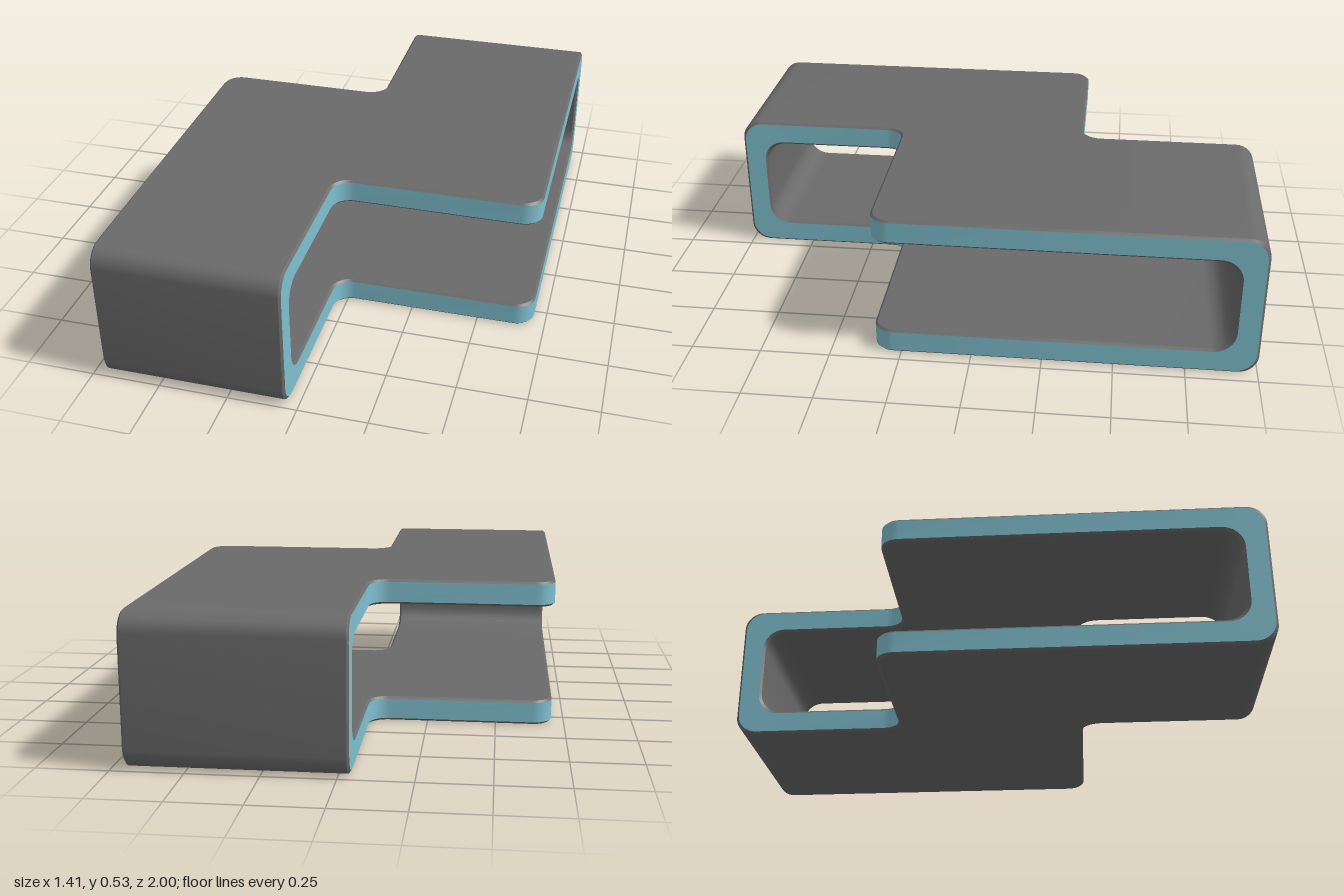
import * as THREE from 'three';
import { toCreasedNormals } from 'three/addons/utils/BufferGeometryUtils.js';

const HEIGHT = 0.53, WALL = 0.09, HALF_X = 0.705, STEP_X = -0.04, STEP_Z = 0.35;
const R = 0.07, R_IN = 0.08, BEVEL = 0.008, SEG = 8;

// Angles of a quarter turn
const quarter = Array.from({ length: SEG + 1 }, (_, k) => (k / SEG) * Math.PI / 2);

// Plan outline of one stepped edge: a concave fillet followed by a rounded corner
function steppedEdge(stepX) {
  const fillet = quarter.map((a) => ({
    x: stepX - R + R * Math.cos(a), z: -STEP_Z - R + R * Math.sin(a),
    nx: -Math.cos(a), nz: -Math.sin(a),
  }));
  const corner = quarter.map((a) => ({
    x: -HALF_X + R - R * Math.sin(a), z: -STEP_Z + R - R * Math.cos(a),
    nx: -Math.sin(a), nz: -Math.cos(a),
  }));
  return [...fillet, ...corner];
}

// Section across the band: outer and inner [z, y] points, full and bevelled x limits
function section(o, i, xl, xr, xlIn = xl + BEVEL, xrIn = xr - BEVEL, dz = 0) {
  const t = BEVEL / WALL;
  const mix = (a, b) => [a[0] + (b[0] - a[0]) * t, a[1] + (b[1] - a[1]) * t];
  const oRim = mix(o, i), iRim = mix(i, o);
  const at = (x, p, d = 0) => [x, p[1], p[0] + d];
  return [at(xl, oRim), at(xlIn, o, dz), at(xrIn, o, dz), at(xr, oRim),
    at(xr, iRim), at(xrIn, i, dz), at(xlIn, i, dz), at(xl, iRim)];
}

// Rounded bend at one end, from the end wall up to the flat slab
function endBend(sign, xl, xr) {
  return quarter.map((a) => {
    const arc = (inset, r) => [
      sign * (1 - inset - r + r * Math.cos(a)),
      HEIGHT - inset - r + r * Math.sin(a),
    ];
    return section(arc(0, R), arc(WALL, R_IN), xl, xr);
  });
}

// All sections around the closed band
function bandSections() {
  const slab = (z) => [[z, HEIGHT], [z, HEIGHT - WALL]];
  const left = steppedEdge(STEP_X).map((p) => section(...slab(p.z), p.x, HALF_X,
    p.x - p.nx * BEVEL, HALF_X - BEVEL, -p.nz * BEVEL));
  const right = steppedEdge(-STEP_X).reverse().map((p) => section(...slab(-p.z), -HALF_X, -p.x,
    -HALF_X + BEVEL, -p.x + p.nx * BEVEL, p.nz * BEVEL));
  const top = [
    ...endBend(-1, STEP_X, HALF_X), ...left, ...right,
    ...endBend(1, -HALF_X, STEP_X).reverse(),
  ];
  // Lower half mirrors the upper half
  const bottom = top.map((s) => s.map(([x, y, z]) => [x, HEIGHT - y, z])).reverse();
  return [...top, ...bottom];
}

// Skin the chosen strips between neighbouring sections
function skin(sections, strips) {
  const pos = [];
  sections.forEach((a, k) => {
    const b = sections[(k + 1) % sections.length];
    for (const j of strips) {
      const n = (j + 1) % 8;
      pos.push(...a[j], ...b[j], ...b[n], ...a[j], ...b[n], ...a[n]);
    }
  });
  const geo = new THREE.BufferGeometry();
  geo.setAttribute('position', new THREE.Float32BufferAttribute(pos, 3));
  return toCreasedNormals(geo, 0.6);
}

export function createModel() {
  const group = new THREE.Group();
  group.name = 'steppedTubeFrame';
  const sections = bandSections();
  const add = (name, strips, color) => {
    const mesh = new THREE.Mesh(skin(sections, strips), new THREE.MeshStandardMaterial({ color }));
    mesh.name = name;
    group.add(mesh);
  };
  add('outerShell', [0, 1, 2], 0x6a6a6a);
  add('innerShell', [4, 5, 6], 0x6a6a6a);
  add('rightRim', [7], 0x7fc0d0);
  add('leftRim', [3], 0x7fc0d0);
  return group;
}
